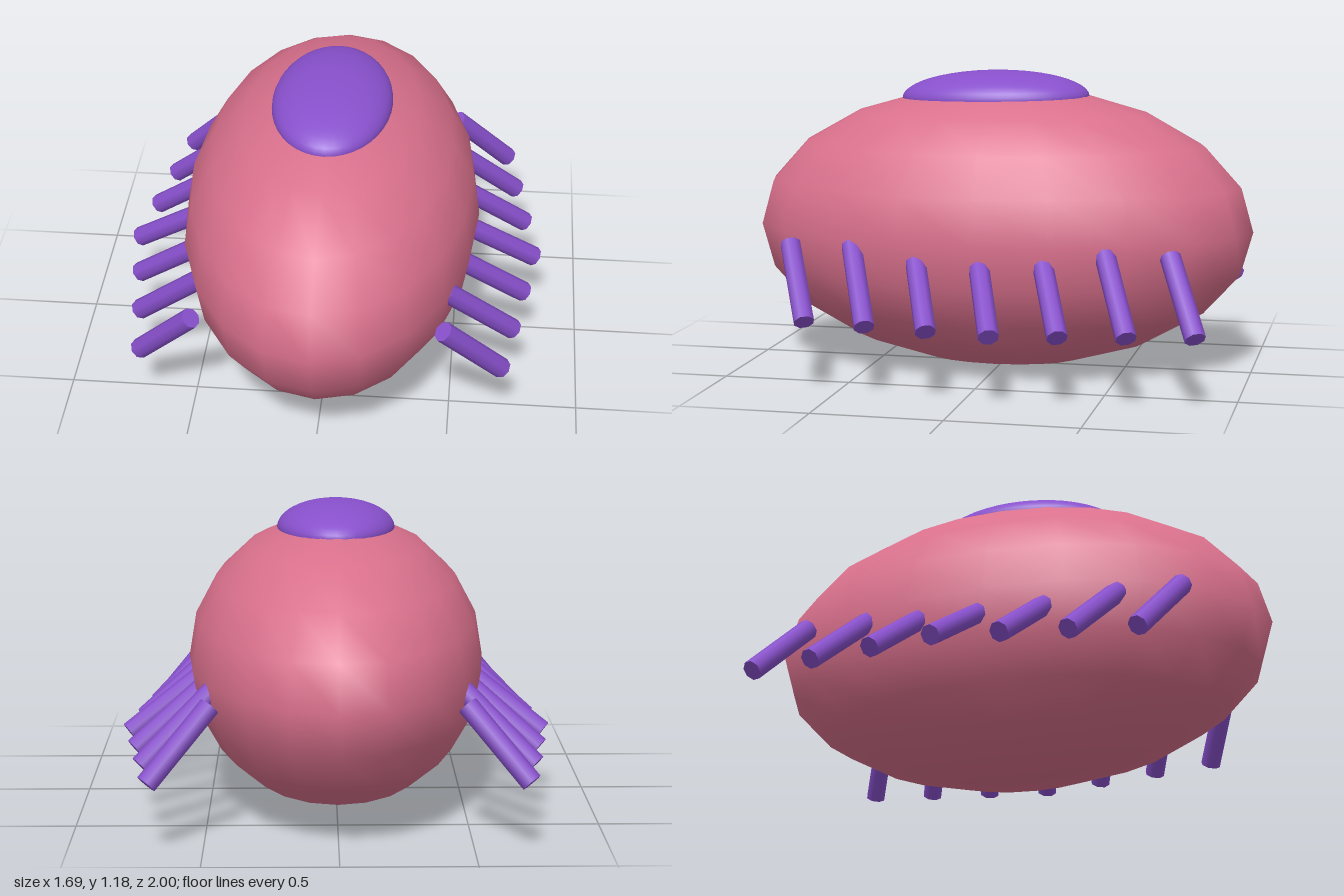
import * as THREE from 'three';

export function createModel() {
  const model = new THREE.Group();
  const pink = new THREE.MeshStandardMaterial({ color: 0xd9708c });
  const purple = new THREE.MeshStandardMaterial({ color: 0x8850cc });

  const add = (name, geometry, material) => {
    const mesh = new THREE.Mesh(geometry, material);
    mesh.name = name;
    model.add(mesh);
    return mesh;
  };

  // Egg-shaped body, long from front to back
  const body = add('body', new THREE.SphereGeometry(1, 20, 10), pink);
  body.scale.set(0.585, 0.56, 1);
  body.position.y = 0.56;

  // Half-ellipsoid cap on the back, with a closed underside
  const dome = add('dome', new THREE.SphereGeometry(1, 40, 12, 0, Math.PI * 2, 0, Math.PI / 2), purple);
  const base = add('domeBase', new THREE.CircleGeometry(1, 40).rotateX(Math.PI / 2), purple);
  for (const part of [dome, base]) {
    part.scale.set(0.233, 0.106, 0.377);
    part.position.set(0, 1.072, 0.031);
    part.rotation.x = 0.02;
  }

  // Seven legs per side, splayed outward, down and backward
  const up = new THREE.Vector3(0, 1, 0);
  for (const side of [-1, 1]) {
    for (let i = -3; i <= 3; i++) {
      const z = i * 0.246;
      const root = new THREE.Vector3(side * 0.472, 0.532, z);
      const tip = new THREE.Vector3(side * (0.82 - 0.04 * Math.abs(i)), 0.272, z - 0.125);
      const axis = root.clone().sub(tip);
      const leg = add(side > 0 ? 'leftLeg' : 'rightLeg',
        new THREE.CylinderGeometry(0.04, 0.04, axis.length(), 8), purple);
      leg.position.copy(root).add(tip).multiplyScalar(0.5);
      leg.quaternion.setFromUnitVectors(up, axis.normalize());
    }
  }

  return model;
}
